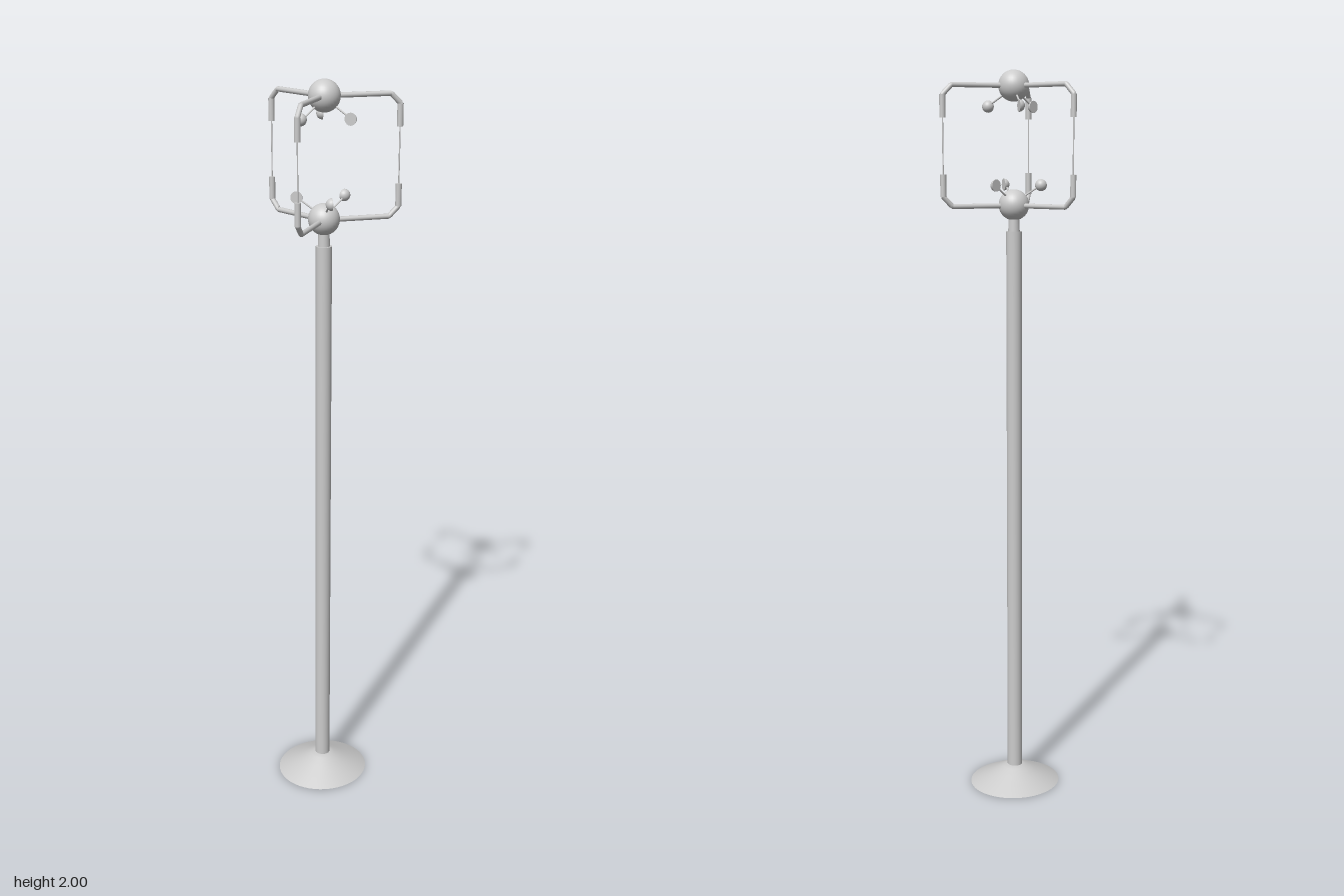
import * as THREE from 'three';

const material = new THREE.MeshStandardMaterial({ color: 0xcccccc });
const cupMaterial = new THREE.MeshStandardMaterial({ color: 0xcccccc, side: THREE.DoubleSide });
const TOP = 1.959, BOTTOM = 1.65;

function add(parent, name, geometry, mat = material) {
  const mesh = new THREE.Mesh(geometry, mat);
  mesh.name = name;
  parent.add(mesh);
  return mesh;
}

// Straight rod between two points
function rod(parent, name, a, b, radius, sides = 10) {
  const dir = b.clone().sub(a);
  const mesh = add(parent, name, new THREE.CylinderGeometry(radius, radius, dir.length(), sides));
  mesh.position.copy(a).add(b).multiplyScalar(0.5);
  mesh.quaternion.setFromUnitVectors(new THREE.Vector3(0, 1, 0), dir.normalize());
  return mesh;
}

// Bent arm in the local xy plane, running out from a hub to a sleeve; s = -1 bends down, 1 bends up
function bentArm(parent, name, y, s) {
  const arm = new THREE.Group();
  arm.name = name;
  const p = [[0.03, 0], [0.174, 0], [0.199, 0.025 * s], [0.199, 0.05 * s]]
    .map(([x, dy]) => new THREE.Vector3(x, y + dy, 0));
  const path = new THREE.CurvePath();
  for (let i = 0; i < 3; i++) path.add(new THREE.LineCurve3(p[i], p[i + 1]));
  add(arm, 'tube', new THREE.TubeGeometry(path, 40, 0.0068, 10));
  rod(arm, 'sleeve', p[2], new THREE.Vector3(0.199, y + 0.083 * s, 0), 0.008);
  parent.add(arm);
}

// Three hemispherical cups on slanted spokes; spin sets which way the domes face
function cupRotor(parent, name, hubY, cupY, angles, spin) {
  const rotor = new THREE.Group();
  rotor.name = name;
  for (const angle of angles) {
    const spoke = new THREE.Group();
    spoke.name = 'cupArm';
    spoke.rotation.y = -angle;
    const tip = new THREE.Vector3(0.072, cupY, 0);
    rod(spoke, 'spoke', new THREE.Vector3(0.02, hubY, 0), tip, 0.0025, 8);
    const cup = add(spoke, 'cup',
      new THREE.SphereGeometry(0.016, 20, 10, 0, Math.PI * 2, 0, Math.PI / 2), cupMaterial);
    cup.position.copy(tip);
    cup.position.z = -0.006 * spin;
    cup.rotation.x = spin * Math.PI / 2;
    const face = add(cup, 'cupFace', new THREE.CircleGeometry(0.016, 20), cupMaterial);
    face.rotation.x = Math.PI / 2;
    rotor.add(spoke);
  }
  parent.add(rotor);
}

export function createModel() {
  const model = new THREE.Group();
  model.name = 'sensorMast';
  const body = new THREE.Group();
  body.name = 'mast';
  body.position.set(-0.004, 0, 0.04);
  model.add(body);

  // Flared foot
  const foot = [[0, 0], [0.13, 0], [0.13, 0.002], [0.095, 0.019], [0.06, 0.035], [0.035, 0.047], [0.02, 0.052], [0, 0.052]]
    .map(([x, y]) => new THREE.Vector2(x, y));
  const rim = foot.slice(2);
  const base = add(body, 'base', new THREE.LatheGeometry(rim, 48));
  base.scale.z = 0.96;
  const underside = add(base, 'baseUnderside', new THREE.LatheGeometry(foot.slice(0, 2), 48));
  underside.position.y = 0.001;

  // Pole and narrower neck
  rod(body, 'pole', new THREE.Vector3(0, 0.04, 0), new THREE.Vector3(0, 1.58, 0), 0.021, 32);
  const neck = add(body, 'neck', new THREE.CylinderGeometry(0.014, 0.016, 0.06, 24));
  neck.position.y = 1.6;

  // Hubs
  for (const [name, y] of [['upperHub', TOP], ['lowerHub', BOTTOM]]) {
    add(body, name, new THREE.SphereGeometry(0.041, 32, 20)).position.y = y;
  }

  // Three transducer frames, each a pair of arms joined by a fine wire
  for (const degrees of [-90, 28, 152]) {
    const frame = new THREE.Group();
    frame.name = 'sensorFrame';
    frame.rotation.y = -THREE.MathUtils.degToRad(degrees);
    bentArm(frame, 'upperArm', TOP, -1);
    bentArm(frame, 'lowerArm', BOTTOM - 0.002, 1);
    rod(frame, 'wire', new THREE.Vector3(0.199, BOTTOM + 0.06, 0), new THREE.Vector3(0.199, TOP - 0.06, 0), 0.0018, 6);
    body.add(frame);
  }

  // Cup rotors inside the frames
  const rad = (list) => list.map(THREE.MathUtils.degToRad);
  cupRotor(body, 'upperCups', TOP - 0.018, 1.906, rad([183, 305, 65]), -1);
  cupRotor(body, 'lowerCups', BOTTOM + 0.018, 1.702, rad([4, 122, 239]), 1);
  return model;
}
